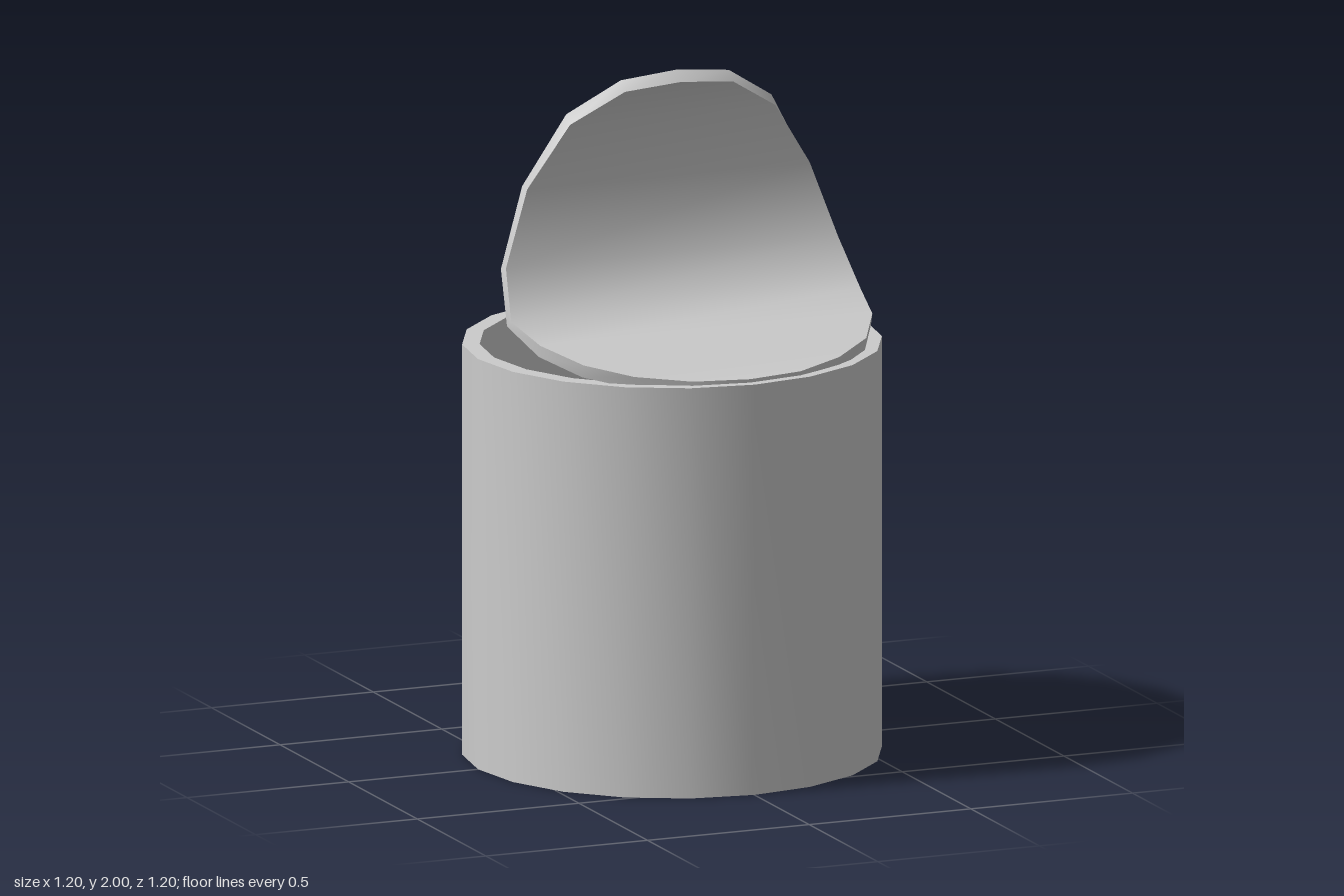
import * as THREE from 'three';
import { toCreasedNormals } from 'three/addons/utils/BufferGeometryUtils.js';

const SIDES = 20;
const grey = new THREE.MeshStandardMaterial({ color: 0xcccccc });
const greyFlat = new THREE.MeshStandardMaterial({ color: 0xcccccc, flatShading: true });

function addMesh(group, name, geometry, material = grey) {
  const mesh = new THREE.Mesh(geometry, material);
  mesh.name = name;
  group.add(mesh);
}

const lathe = (points) =>
  new THREE.LatheGeometry(points.map(([r, y]) => new THREE.Vector2(r, y)), SIDES);

// A thin round lid bent along z: one row for each pair of rim corners, front to back.
function bentLid(radius, profile) {
  const rows = profile.map(([zIn, yIn, zOut, yOut], k) => {
    const w = k % 10 === 0 ? 0 : radius * Math.sin((k * 2 * Math.PI) / SIDES);
    return {
      inL: [-w, yIn, zIn], inR: [w, yIn, zIn],
      outL: [-w, yOut, zOut], outR: [w, yOut, zOut],
    };
  });
  const positions = [];
  const quad = (a, b, c, d) => {
    const same = (p, q) => p.every((v, i) => v === q[i]);
    if (!same(a, b)) positions.push(...a, ...b, ...c);
    if (!same(c, d)) positions.push(...a, ...c, ...d);
  };
  for (let k = 0; k < rows.length - 1; k++) {
    const p = rows[k], q = rows[k + 1];
    quad(p.inL, p.inR, q.inR, q.inL);     // upper face
    quad(p.outR, p.outL, q.outL, q.outR); // under face
    quad(p.outR, q.outR, q.inR, p.inR);   // edge, left side
    quad(q.outL, p.outL, p.inL, q.inL);   // edge, right side
  }
  const geometry = new THREE.BufferGeometry();
  geometry.setAttribute('position', new THREE.Float32BufferAttribute(positions, 3));
  return toCreasedNormals(geometry, 1.0);
}

export function createModel() {
  const group = new THREE.Group();
  group.name = 'openCan';

  // Outer wall with base and rim
  addMesh(group, 'canOuter',
    toCreasedNormals(lathe([[0, 0], [0.6, 0], [0.6, 1.2], [0.55, 1.2]]), 0.6));

  // Faceted inner wall and floor
  addMesh(group, 'canInner', lathe([[0.55, 1.2], [0.55, 0.05], [0, 0.05]]), greyFlat);

  // Peeled-back lid: [inner z, inner y, outer z, outer y] per row
  addMesh(group, 'lid', bentLid(0.54, [
    [0.572, 1.21, 0.57, 1.174],
    [0.545, 1.212, 0.543, 1.176],
    [0.472, 1.224, 0.463, 1.188],
    [0.386, 1.25, 0.377, 1.213],
    [0.25, 1.285, 0.24, 1.25],
    [0.1, 1.325, 0.07, 1.305],
    [0.0, 1.457, -0.037, 1.447],
    [-0.026, 1.675, -0.063, 1.677],
    [0.005, 1.86, -0.023, 1.885],
    [0.052, 1.953, 0.02, 1.98],
    [0.067, 1.97, 0.037, 2.0],
  ]));

  return group;
}
